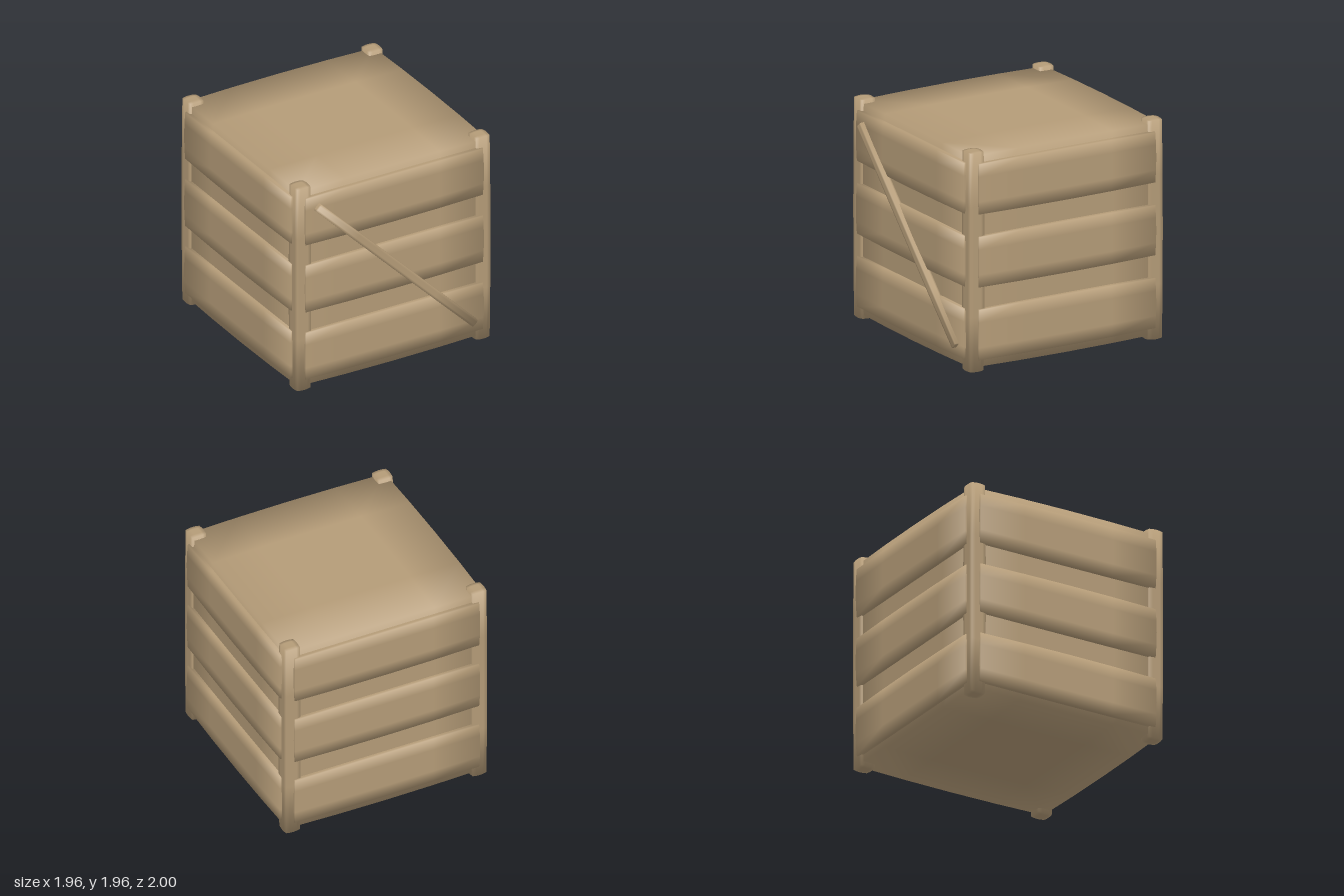
import * as THREE from 'three';

// Softly bulging block: faces swell toward their middles and
// normals blend around the edges for a pillowy, smooth look.
function softBlock(w, h, d, bulge) {
  const half = [w / 2, h / 2, d / 2];
  const geo = new THREE.BoxGeometry(2, 2, 2, 4, 4, 4);
  const pos = geo.attributes.position;
  const nor = geo.attributes.normal;
  for (let i = 0; i < pos.count; i++) {
    const u = [pos.getX(i), pos.getY(i), pos.getZ(i)];
    const sq = u.map((v) => v * v);
    const sum = sq[0] + sq[1] + sq[2];
    const p = u.map((v, k) => v * (half[k] - bulge * (sum - sq[k]) / 2));
    pos.setXYZ(i, p[0], p[1], p[2]);
    const n = new THREE.Vector3(...u.map((v) => (Math.abs(v) > 0.99 ? Math.sign(v) : 0))).normalize();
    nor.setXYZ(i, n.x, n.y, n.z);
  }
  return geo;
}

export function createModel() {
  const wood = new THREE.MeshStandardMaterial({ color: 0xb59c78 });
  wood.name = 'tan wood';

  const crate = new THREE.Group();
  crate.name = 'crate';
  const midY = 0.985;

  function add(parent, name, geo, x, y, z) {
    const mesh = new THREE.Mesh(geo, wood);
    mesh.name = name;
    mesh.position.set(x, y, z);
    parent.add(mesh);
    return mesh;
  }

  // Inner box
  add(crate, 'innerBox', softBlock(1.9, 1.91, 1.9, 0.018), 0, midY, 0);

  // Corner posts
  const postGeo = softBlock(0.15, 1.96, 0.15, 0.01);
  for (const sx of [-1, 1]) {
    for (const sz of [-1, 1]) {
      add(crate, 'cornerPost', postGeo, sx * 0.885, midY, sz * 0.885);
    }
  }

  // Three slats on each of the four sides
  const slatGeo = softBlock(1.77, 0.47, 0.08, 0.013);
  ['front', 'left', 'back', 'right'].forEach((side, i) => {
    const panel = new THREE.Group();
    panel.name = side + 'Slats';
    panel.rotation.y = i * Math.PI / 2;
    for (const y of [-0.648, 0, 0.648]) add(panel, 'slat', slatGeo, 0, midY + y, 0.942);
    crate.add(panel);
  });

  // Diagonal brace on the front
  const brace = add(crate, 'diagonalBrace', softBlock(2.195, 0.08, 0.07, 0.005), 0, midY + 0.002, 0.983);
  brace.rotation.z = -Math.PI / 4;

  // Centre the depth, allowing for the brace
  crate.position.z = -0.018;
  const model = new THREE.Group();
  model.name = 'woodenCrate';
  model.add(crate);
  return model;
}
